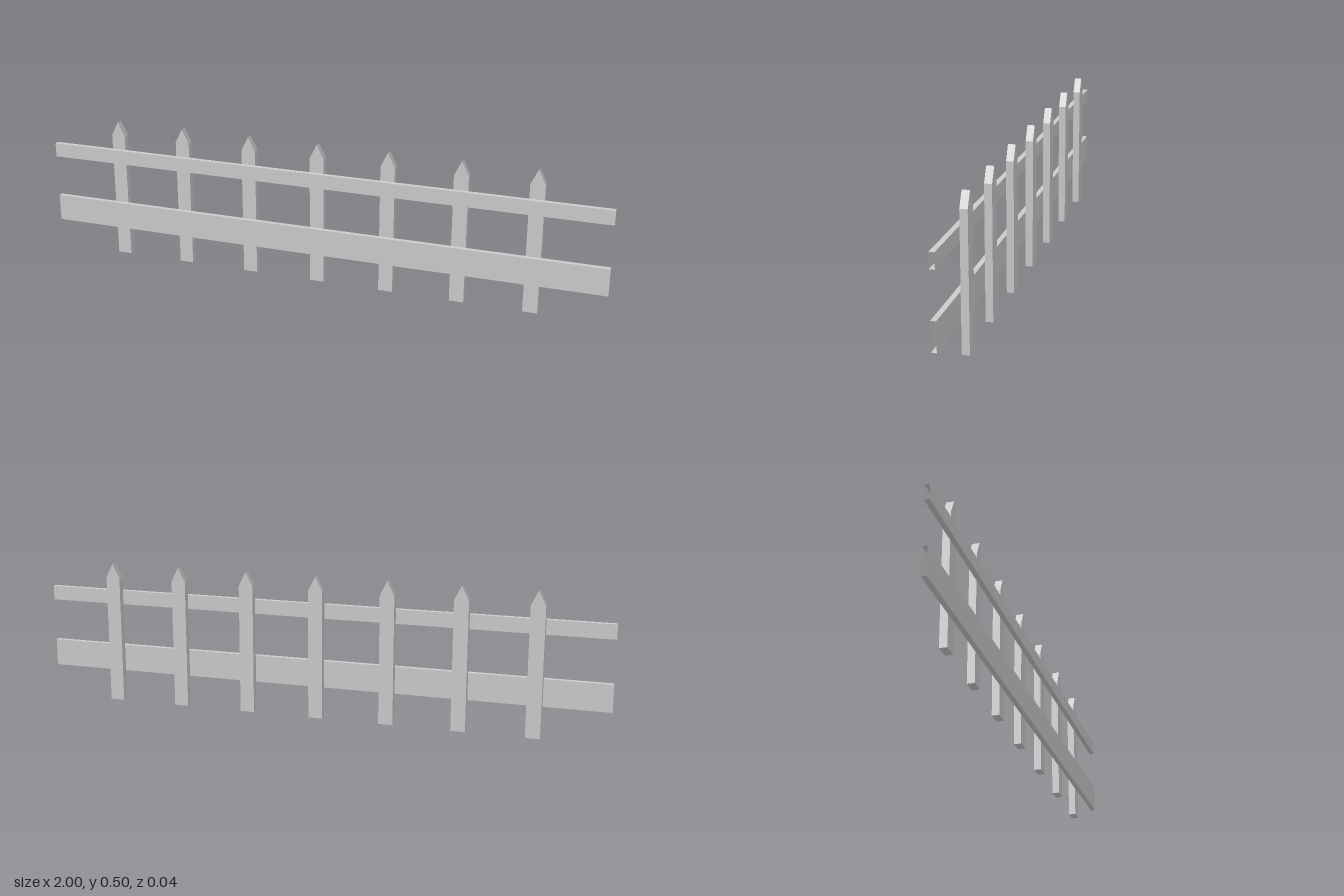
import * as THREE from 'three';

const LENGTH = 2, PICKET_W = 0.05, HEIGHT = 0.5, SHOULDER = 0.45;
const BACK = -0.021, JOINT = 0.004, FRONT = 0.021; // depth: pickets behind, rails in front

export function createModel() {
  const fence = new THREE.Group();
  fence.name = 'picketFence';
  const wood = new THREE.MeshStandardMaterial({ color: 0xcccccc, flatShading: true });
  const openWood = wood.clone();
  openWood.side = THREE.DoubleSide;

  // Pointed pickets, evenly spaced
  const outline = new THREE.Shape([
    [-PICKET_W / 2, 0], [PICKET_W / 2, 0], [PICKET_W / 2, SHOULDER],
    [0, HEIGHT], [-PICKET_W / 2, SHOULDER],
  ].map(([x, y]) => new THREE.Vector2(x, y)));
  const picketGeometry = new THREE.ExtrudeGeometry(outline, { depth: JOINT - BACK, bevelEnabled: false });
  for (let i = -3; i <= 3; i++) {
    const picket = new THREE.Mesh(picketGeometry, wood);
    picket.name = 'picket';
    picket.position.set(i * 0.25, 0, BACK);
    fence.add(picket);
  }

  // Horizontal rails: long boxes with open ends
  const addRail = (name, bottom, top) => {
    const geometry = new THREE.BoxGeometry(LENGTH, top - bottom, FRONT - JOINT);
    geometry.setIndex(Array.from(geometry.index.array).slice(12)); // drop both end faces
    geometry.clearGroups();
    const rail = new THREE.Mesh(geometry, openWood);
    rail.name = name;
    rail.position.set(0, (bottom + top) / 2, (JOINT + FRONT) / 2);
    fence.add(rail);
  };
  addRail('lowerRail', 0.105, 0.2);
  addRail('upperRail', 0.35, 0.4);

  return fence;
}
